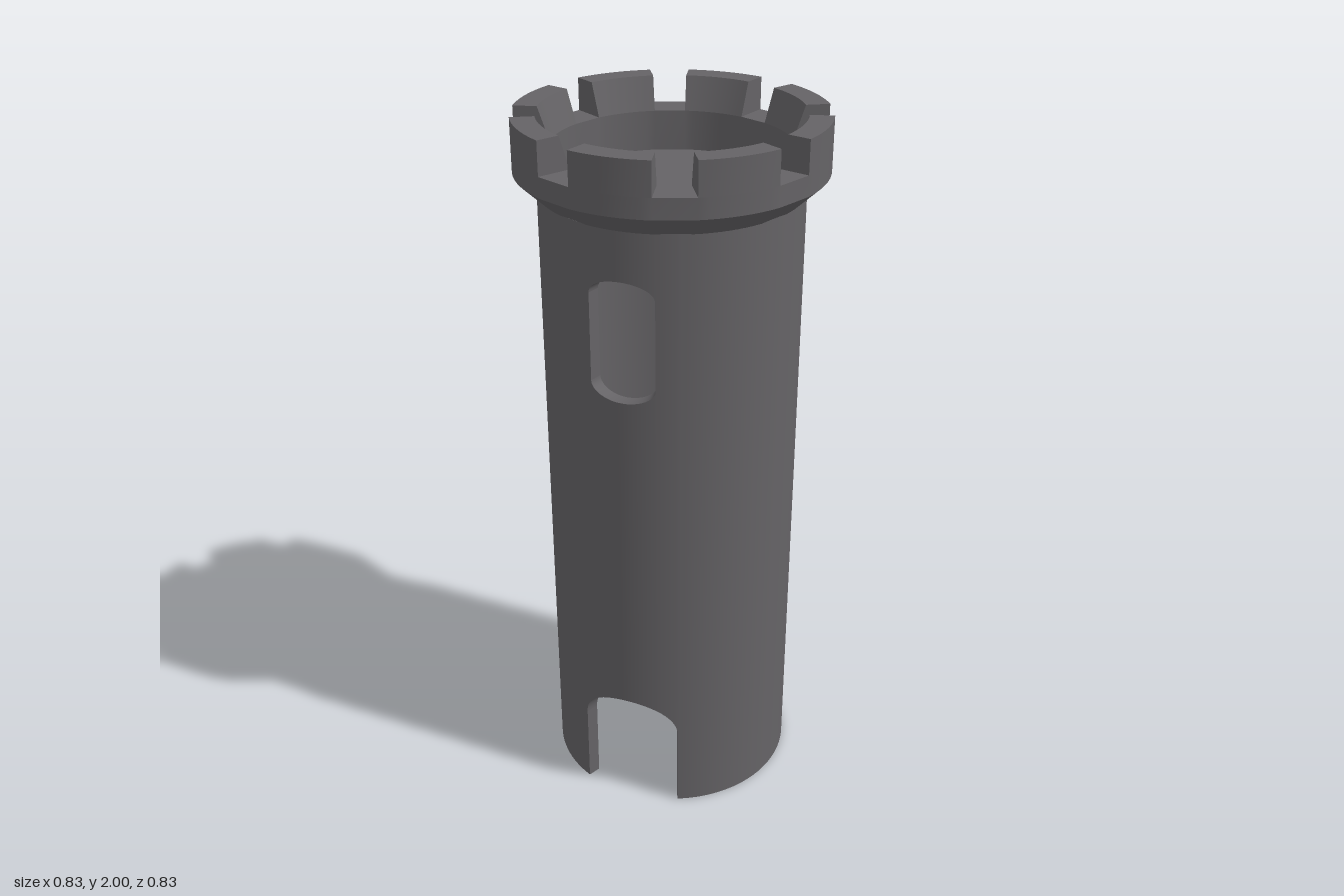
import * as THREE from 'three';

const R_IN = 0.315, R_OUT = 0.353, WALL_TOP = 1.8;
const DOOR = { half: 0.423, spring: 0.25, rise: 0.105 };
const WINDOW = { half: 0.258, sill: 1.375, head: 1.62, rise: 0.045 };

const range = (a, b, n) => Array.from({ length: n + 1 }, (_, i) => a + (b - a) * i / n);

// Sweeps a counterclockwise (radius, y) loop round the y axis; sharp along the loop, smooth round it
function sweep(angles, profileAt, { ring = false, caps = false } = {}) {
  const pos = [], idx = [];
  const put = (t, [r, y]) => pos.push(r * Math.sin(t), y, r * Math.cos(t)) / 3 - 1;
  const count = profileAt(angles[0]).length;
  for (let k = 0; k < count; k++) {
    const rows = angles.map((t) => {
      const p = profileAt(t);
      return [put(t, p[k]), put(t, p[(k + 1) % count])];
    });
    if (ring) rows.push(rows[0]);
    for (let i = 0; i + 1 < rows.length; i++) {
      const [a, d] = rows[i], [b, c] = rows[i + 1];
      idx.push(a, b, c, a, c, d);
    }
  }
  if (caps) {
    [angles[0], angles[angles.length - 1]].forEach((t, end) => {
      const v = profileAt(t).map((p) => put(t, p));
      for (let k = 1; k + 1 < count; k++) {
        idx.push(v[0], v[end ? k + 1 : k], v[end ? k : k + 1]);
      }
    });
  }
  const g = new THREE.BufferGeometry();
  g.setAttribute('position', new THREE.Float32BufferAttribute(pos, 3));
  g.setIndex(idx);
  g.computeVertexNormals();
  return g;
}

export function createModel() {
  const stone = new THREE.MeshStandardMaterial({ color: 0x656366 });
  stone.name = 'darkGreyStone';
  const tower = new THREE.Group();
  tower.name = 'tower';

  const add = (parent, name, geometry) => {
    const mesh = new THREE.Mesh(geometry, stone);
    mesh.name = name;
    parent.add(mesh);
    return mesh;
  };

  // Curved wall piece between a lower and an upper edge
  const wall = (parent, name, angles, low, high) => add(parent, name, sweep(angles, (t) => [
    [R_IN, low(t)], [R_OUT, low(t)], [R_OUT, high(t)], [R_IN, high(t)],
  ]));

  // Upright radial sides of an opening
  const jambs = (parent, name, half, y0, y1) => {
    for (const s of [-1, 1]) {
      const g = new THREE.PlaneGeometry(R_OUT - R_IN, y1 - y0);
      g.rotateY(-s * Math.PI / 2);
      g.translate(0, (y0 + y1) / 2, (R_IN + R_OUT) / 2);
      g.rotateY(s * half);
      add(parent, name, g);
    }
  };

  const bow = (t, half) => Math.sqrt(Math.max(0, 1 - (t / half) ** 2));
  const doorTop = (t) => DOOR.spring + DOOR.rise * bow(t, DOOR.half);
  const sill = (t) => WINDOW.sill - WINDOW.rise * bow(t, WINDOW.half);
  const head = (t) => WINDOW.head + WINDOW.rise * bow(t, WINDOW.half);
  const top = () => WALL_TOP, ground = () => 0;

  // Angles bunched towards the ends of the arches
  const inner = range(-Math.PI / 2, Math.PI / 2, 20).map((u) => WINDOW.half * Math.sin(u));
  const u0 = Math.asin(WINDOW.half / DOOR.half);
  const outer = range(u0, Math.PI / 2, 10).map((u) => DOOR.half * Math.sin(u));
  const outerMirrored = outer.map((t) => -t).reverse();

  // Front and back halves, each with a doorway and a window
  for (const [name, turn] of [['frontHalf', 0], ['backHalf', Math.PI]]) {
    const half = new THREE.Group();
    half.name = name;
    half.rotation.y = turn;
    wall(half, 'wallBelowWindow', inner, doorTop, sill);
    wall(half, 'wallAboveWindow', inner, head, top);
    wall(half, 'wallBesideWindow', outer, doorTop, top);
    wall(half, 'wallBesideWindow', outerMirrored, doorTop, top);
    wall(half, 'sideWall', range(DOOR.half, Math.PI - DOOR.half, 40), ground, top);
    jambs(half, 'doorJamb', DOOR.half, 0, DOOR.spring);
    jambs(half, 'windowJamb', WINDOW.half, WINDOW.sill, WINDOW.head);
    tower.add(half);
  }

  // Crown ring, curved under each merlon and straight across each gap
  const step = Math.PI / 4, merlonHalf = Math.PI / 12;
  const merlonAngles = range(-merlonHalf, merlonHalf, 8);
  const crownAngles = [];
  for (let i = 0; i < 8; i++) crownAngles.push(...merlonAngles.map((t) => t + i * step));
  const crown = [[0.32, 1.795], [0.35, 1.795], [0.414, 1.855], [0.414, 1.91], [0.32, 1.91]];
  add(tower, 'crown', sweep(crownAngles, () => crown, { ring: true }));

  // Merlons with a sloping inner face
  const merlon = sweep(merlonAngles,
    () => [[0.32, 1.91], [0.414, 1.91], [0.414, 2], [0.35, 2]], { caps: true });
  for (let i = 0; i < 8; i++) add(tower, 'merlon', merlon).rotation.y = i * step;

  // Roof deck sunk inside the crown
  const deck = add(tower, 'deck', new THREE.CylinderGeometry(0.32, 0.32, 0.04, 80));
  deck.position.y = 1.78;

  return tower;
}
